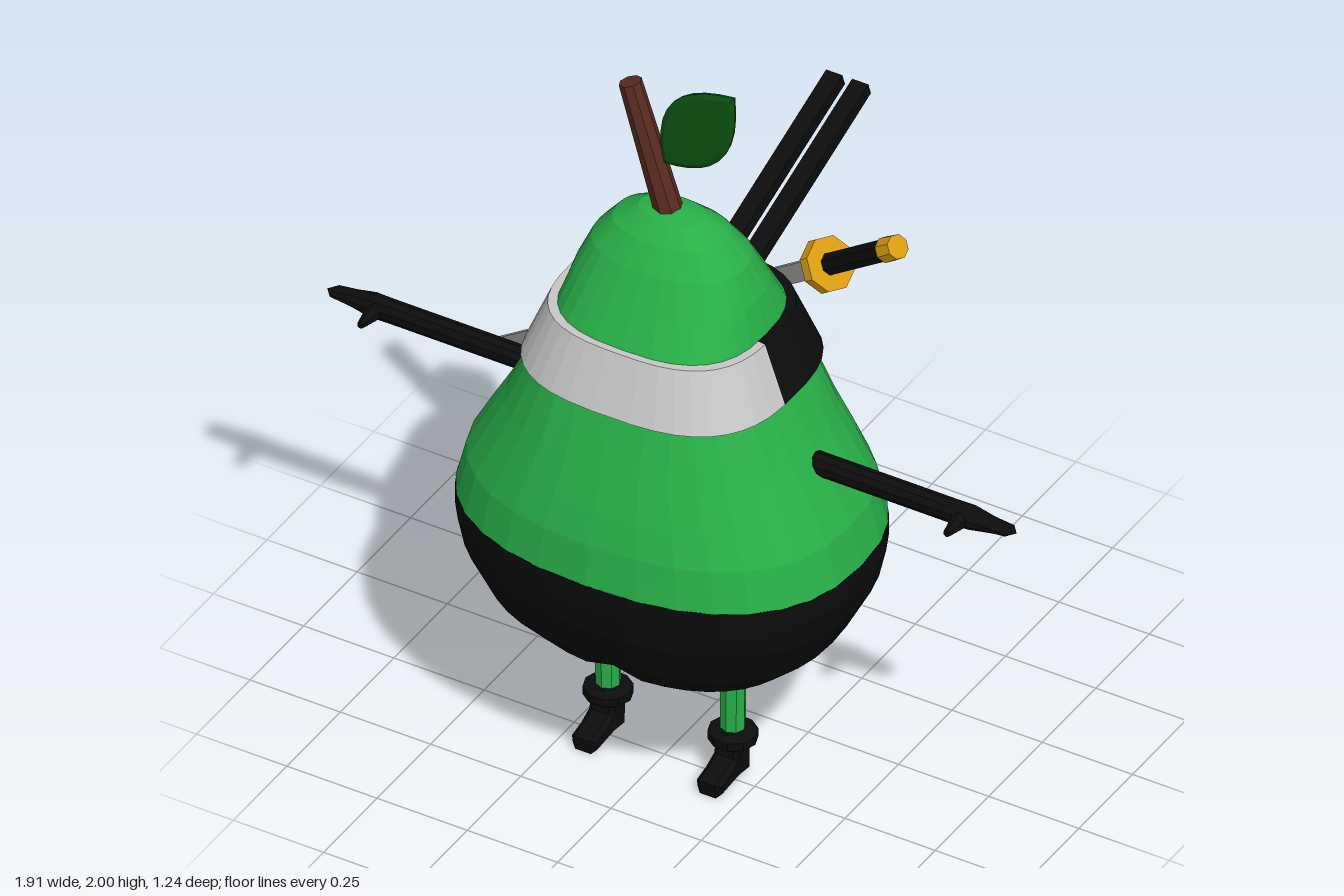
import * as THREE from 'three';

const mat = (name, color, opts = {}) => {
  const m = new THREE.MeshStandardMaterial({ color, flatShading: true, ...opts });
  m.name = name;
  return m;
};

// Stacks superellipse rings [y, rx, rz, exponent] between angles a0 and a1
function loft(rings, seg = 32, a0 = 0, a1 = Math.PI * 2) {
  const pos = [], idx = [];
  const curve = (v, n) => Math.sign(v) * Math.abs(v) ** (2 / n);
  rings.forEach(([y, rx, rz, n = 2.4]) => {
    for (let j = 0; j <= seg; j++) {
      const a = a0 + (a1 - a0) * j / seg;
      pos.push(rx * curve(Math.cos(a), n), y, rz * curve(Math.sin(a), n));
    }
  });
  for (let i = 0; i < rings.length - 1; i++) {
    for (let j = 0; j < seg; j++) {
      const p = i * (seg + 1) + j, q = p + seg + 1;
      idx.push(p, q, p + 1, q, q + 1, p + 1);
    }
  }
  const g = new THREE.BufferGeometry();
  g.setAttribute('position', new THREE.Float32BufferAttribute(pos, 3));
  g.setIndex(idx);
  g.computeVertexNormals();
  return g;
}

export function createModel() {
  const green = mat('pear green', 0x28b048);
  const black = mat('cloth black', 0x0c0c0c, { side: THREE.DoubleSide });
  const white = mat('band white', 0xc8c8c8, { side: THREE.DoubleSide });
  const brown = mat('stem brown', 0x5a2a20);
  const leafGreen = mat('leaf green', 0x0c5212);
  const gold = mat('gold', 0xdc9c12);
  const steel = mat('steel', 0x999999);

  const root = new THREE.Group();
  const add = (name, geo, material, parent = root) => {
    const m = new THREE.Mesh(geo, material);
    m.name = name;
    parent.add(m);
    return m;
  };
  const CZ = 0.215; // depth of the pear's axis

  // Pear body: green top and black trousers
  const body = new THREE.Group();
  body.name = 'body';
  body.position.z = CZ;
  root.add(body);
  add('pearTop', loft([
    [0.74, 0.525, 0.405], [0.85, 0.497, 0.39], [0.94, 0.448, 0.365], [1.03, 0.397, 0.338],
    [1.18, 0.32, 0.285, 2.7], [1.33, 0.262, 0.232, 2.7], [1.42, 0.235, 0.183, 2.5],
    [1.5, 0.2, 0.14], [1.56, 0.15, 0.098], [1.6, 0.085, 0.055], [1.615, 0, 0],
  ]), green, body);
  const trousers = loft([
    [0.33, 0, 0], [0.33, 0.08, 0.06], [0.333, 0.17, 0.125], [0.355, 0.275, 0.205], [0.4, 0.36, 0.275],
    [0.48, 0.445, 0.345], [0.6, 0.507, 0.393], [0.68, 0.525, 0.404], [0.74, 0.525, 0.405],
  ], 40);
  const tp = trousers.attributes.position; // shallow centre crease underneath
  for (let i = 0; i < tp.count; i++) {
    if (tp.getY(i) < 0.42) tp.setY(i, tp.getY(i) + 0.02 * Math.exp(-((tp.getX(i) / 0.04) ** 2)));
  }
  trousers.computeVertexNormals();
  add('trousers', trousers, black, body);

  // Headband: white in front, black behind
  const bandRings = [
    [1.18, 0.31, 0.275, 2.8], [1.18, 0.343, 0.305, 2.8], [1.33, 0.282, 0.25, 2.8], [1.33, 0.25, 0.22, 2.8],
  ];
  add('bandFront', loft(bandRings, 20, 0.077, Math.PI + 0.034), white, body);
  add('bandBack', loft(bandRings, 20, Math.PI + 0.034, Math.PI * 2 + 0.077), black, body);

  // Knot and two stiff band tails
  add('knot', new THREE.SphereGeometry(0.05, 8, 6), black).position.set(0, 1.25, -0.06);
  for (const s of [1, -1]) {
    const tail = add('bandTail', new THREE.BoxGeometry(0.045, 0.036, 0.585), black);
    tail.position.set(s * 0.036, 1.35, -0.335);
    tail.rotation.x = Math.atan2(0.2, 0.55);
  }

  // Arms, hands and thumbs
  for (const s of [1, -1]) {
    const arm = loft([
      [0.36, 0, 0, 2], [0.36, 0.03, 0.03, 2], [0.78, 0.03, 0.03, 2], [0.83, 0.029, 0.034, 2],
      [0.88, 0.02, 0.026, 2], [0.935, 0.008, 0.024, 2], [0.955, 0, 0, 2],
    ], 10);
    arm.rotateZ(-s * Math.PI / 2);
    add(s > 0 ? 'leftArm' : 'rightArm', arm, black).position.set(0, 1, CZ);
    const thumb = add('thumb', new THREE.CylinderGeometry(0.009, 0.025, 0.075, 6), black);
    thumb.rotation.x = Math.PI / 2;
    thumb.position.set(s * 0.812, 1, CZ + 0.05);
  }

  // Legs, cuffs and boots
  const bootShape = new THREE.Shape([
    [0.2, 0.1], [0.202, 0.012], [0.25, 0.018], [0.33, 0.012], [0.333, 0.032], [0.29, 0.042], [0.252, 0.06], [0.242, 0.1],
  ].map(p => new THREE.Vector2(...p)));
  for (const s of [1, -1]) {
    const leg = new THREE.Group();
    leg.name = s > 0 ? 'leftLeg' : 'rightLeg';
    leg.position.x = s * 0.173;
    root.add(leg);
    add('shin', new THREE.CylinderGeometry(0.034, 0.031, 0.27, 8), green, leg).position.set(0, 0.245, 0.222);
    add('cuff', loft([
      [0.085, 0, 0, 2], [0.085, 0.042, 0.042, 2], [0.1, 0.062, 0.06, 2], [0.122, 0.062, 0.06, 2],
      [0.134, 0.042, 0.042, 2], [0.134, 0, 0, 2],
    ], 10), black, leg).position.z = 0.222;
    const boot = new THREE.ExtrudeGeometry(bootShape, {
      depth: 0.044, bevelThickness: 0.012, bevelSize: 0.011, bevelSegments: 1,
    });
    boot.translate(0, 0, -0.022).rotateY(-Math.PI / 2);
    add('boot', boot, black, leg);
  }

  // Stem
  const stem = add('stem', new THREE.CylinderGeometry(0.029, 0.036, 0.36, 8), brown);
  stem.position.set(-0.062, 1.765, CZ);
  stem.rotation.z = Math.atan2(0.105, 0.335);

  // Leaf
  const leaf = new THREE.Shape();
  leaf.moveTo(-0.02, 1.735);
  leaf.bezierCurveTo(0.1, 1.74, 0.19, 1.8, 0.172, 1.995);
  leaf.bezierCurveTo(0.02, 1.98, -0.055, 1.9, -0.02, 1.735);
  add('leaf', new THREE.ExtrudeGeometry(leaf, {
    depth: 0.006, bevelThickness: 0.006, bevelSize: 0.012, bevelOffset: -0.01, bevelSegments: 1, curveSegments: 10,
  }), leafGreen).position.z = CZ - 0.003;

  // Sword across the back, modelled upward from its tip
  const sword = new THREE.Group();
  sword.name = 'sword';
  const tip = new THREE.Vector3(-0.775, 0.57, -0.29);
  const dir = new THREE.Vector3(0.52, 1.575, 0.042).sub(tip);
  const len = dir.length();
  dir.normalize();
  const side = new THREE.Vector3().crossVectors(dir, new THREE.Vector3(0, 0, 1)).normalize();
  const face = new THREE.Vector3().crossVectors(side, dir);
  sword.quaternion.setFromRotationMatrix(new THREE.Matrix4().makeBasis(side, dir, face));
  sword.position.copy(tip);
  root.add(sword);
  const guardY = len * 0.825;
  const blade = new THREE.Shape([
    [-0.025, 0], [0.012, 0.06], [0.025, 0.11], [0.025, guardY], [-0.025, guardY],
  ].map(p => new THREE.Vector2(...p)));
  add('blade', new THREE.ExtrudeGeometry(blade, { depth: 0.01, bevelEnabled: false }), steel, sword).position.z = -0.005;
  add('guard', new THREE.CylinderGeometry(0.07, 0.07, 0.03, 8), gold, sword).position.y = guardY;
  add('grip', new THREE.CylinderGeometry(0.029, 0.029, len - guardY - 0.04, 8), black, sword).position.y = (guardY + len - 0.04) / 2;
  add('pommel', new THREE.CylinderGeometry(0.031, 0.033, 0.05, 8), gold, sword).position.y = len - 0.02;

  return root;
}
